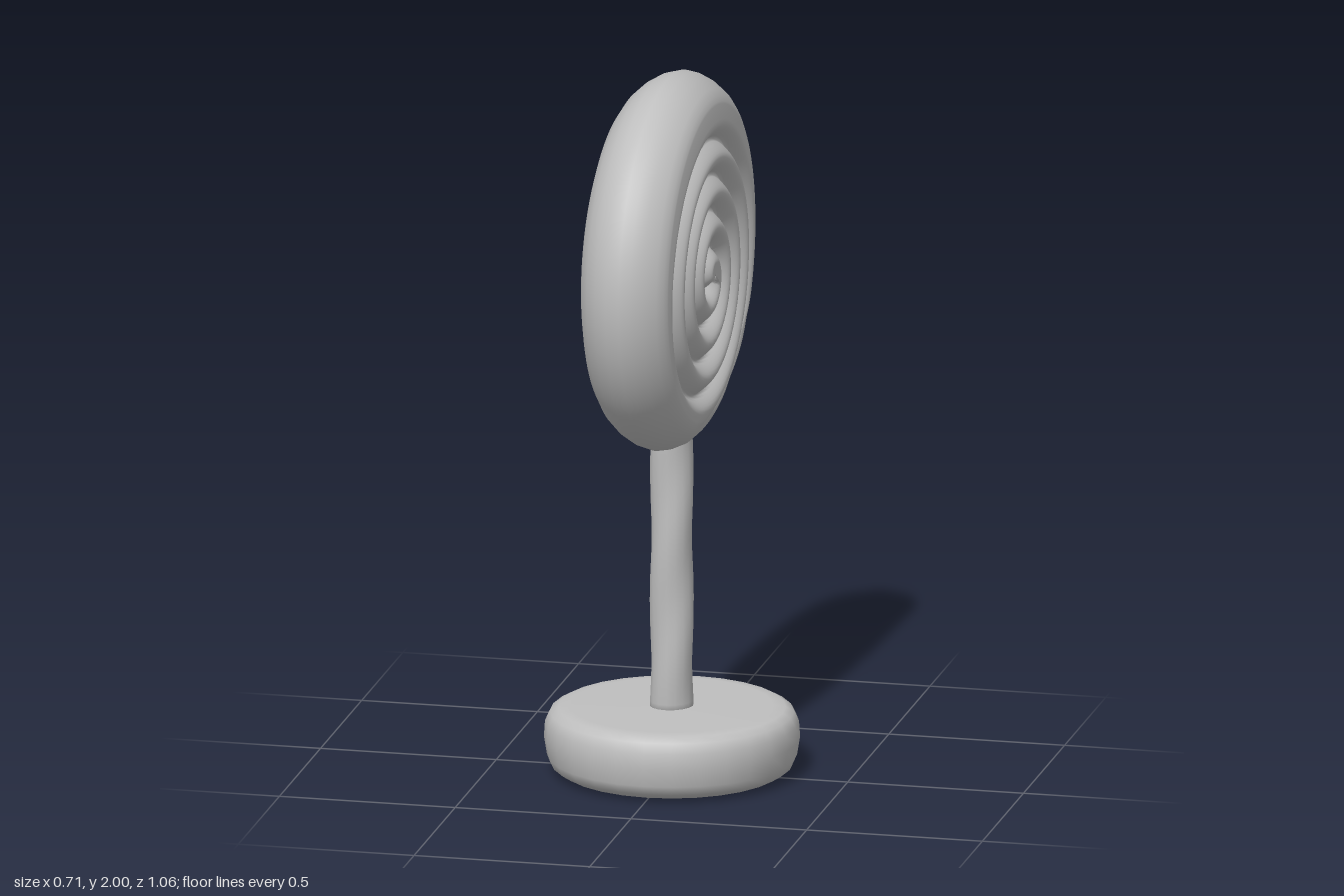
import * as THREE from 'three';
import { mergeVertices } from 'three/addons/utils/BufferGeometryUtils.js';

const RADIUS = 0.53;
const CENTER_Y = 1.47;

const grey = new THREE.MeshStandardMaterial({ color: 0xbfbfbf });
grey.name = 'plain grey';

// Smooth lathe from [radius, height] pairs, ordered bottom to top
function lathe(points, segments) {
  return new THREE.LatheGeometry(points.map(([r, y]) => new THREE.Vector2(r, y)), segments);
}

// Weld the seam and recompute smooth normals after reshaping
function weld(geometry) {
  geometry.deleteAttribute('uv');
  geometry.deleteAttribute('normal');
  const welded = mergeVertices(geometry, 1e-5);
  welded.computeVertexNormals();
  return welded;
}

// Rounded dip around a groove line, d = distance from it
const dip = (d, width) => Math.max(0, 1 - Math.abs(d) / width) ** 1.6;

// Depth of the coiled groove at a point of the candy face
function grooveDepth(y, z) {
  const r = Math.hypot(y + 0.035, z - 0.02);
  // clockwise turns from the top, as seen from +x
  const turn = ((Math.atan2(0.02 - z, y + 0.035) / (2 * Math.PI)) + 1) % 1;
  const pitch = 0.098;
  const first = 0.085 + pitch * turn;
  let depth = 0;
  for (let k = -1; k < 4; k++) {
    const line = first + k * pitch;
    if (line < 0.02) continue;
    // the last turn fades out at the bottom
    const fade = k < 3 ? 1 : THREE.MathUtils.clamp((0.55 - turn) / 0.12, 0, 1);
    depth = Math.max(depth, 0.04 * fade * dip(r - line, 0.046));
  }
  // loose end of the coil along the lower rear edge
  const end = THREE.MathUtils.smoothstep(turn, 0.24, 0.32) * (1 - THREE.MathUtils.smoothstep(turn, 0.42, 0.5));
  return Math.max(depth, 0.022 * end * dip(r - 0.39 - 0.2 * (turn - 0.24), 0.03));
}

function candyGeometry() {
  // Domed back, rounded rim, then a dense flat front
  const profile = [[0, -0.187], [0.1, -0.185], [0.2, -0.179], [0.3, -0.168], [0.38, -0.153],
    [0.43, -0.137], [0.47, -0.112], [0.5, -0.08], [0.52, -0.045], [RADIUS, -0.005],
    [0.525, 0.025], [0.51, 0.058], [0.485, 0.09], [0.465, 0.105]];
  const rings = 64;
  for (let i = 0; i <= rings; i++) {
    const r = 0.45 * (1 - i / rings);
    profile.push([r, 0.128 - 0.016 * (r / 0.45) ** 6]);
  }
  const geometry = lathe(profile, 120);
  geometry.rotateZ(-Math.PI / 2);
  const p = geometry.attributes.position;
  for (let i = 0; i < p.count; i++) {
    let x = p.getX(i);
    const y = p.getY(i);
    const z = p.getZ(i);
    if (x > 0.07) x -= grooveDepth(y, z);
    p.setX(i, x - 0.045 * z); // slight lean of the disc
  }
  return weld(geometry);
}

function stickGeometry() {
  const geometry = new THREE.CylinderGeometry(0.058, 0.06, 0.86, 16, 24);
  geometry.translate(0, 0.6, 0);
  const p = geometry.attributes.position;
  // Shallow twisted unevenness
  for (let i = 0; i < p.count; i++) {
    const y = p.getY(i);
    const a = Math.atan2(p.getZ(i), p.getX(i));
    const s = 1 + 0.045 * Math.sin(2 * a + 17 * y);
    p.setX(i, p.getX(i) * s);
    p.setZ(i, p.getZ(i) * s + 0.003);
  }
  return weld(geometry);
}

function baseGeometry() {
  return lathe([[0, 0], [0.27, 0.002], [0.31, 0.008], [0.335, 0.024], [0.347, 0.05], [0.355, 0.1],
    [0.352, 0.145], [0.338, 0.173], [0.315, 0.186], [0.28, 0.19], [0, 0.192]], 28);
}

export function createModel() {
  const group = new THREE.Group();
  group.name = 'lollipopStand';
  const parts = { base: baseGeometry(), stick: stickGeometry(), candyDisc: candyGeometry() };
  for (const [name, geometry] of Object.entries(parts)) {
    const mesh = new THREE.Mesh(geometry, grey);
    mesh.name = name;
    if (name === 'candyDisc') mesh.position.y = CENTER_Y;
    group.add(mesh);
  }
  return group;
}
